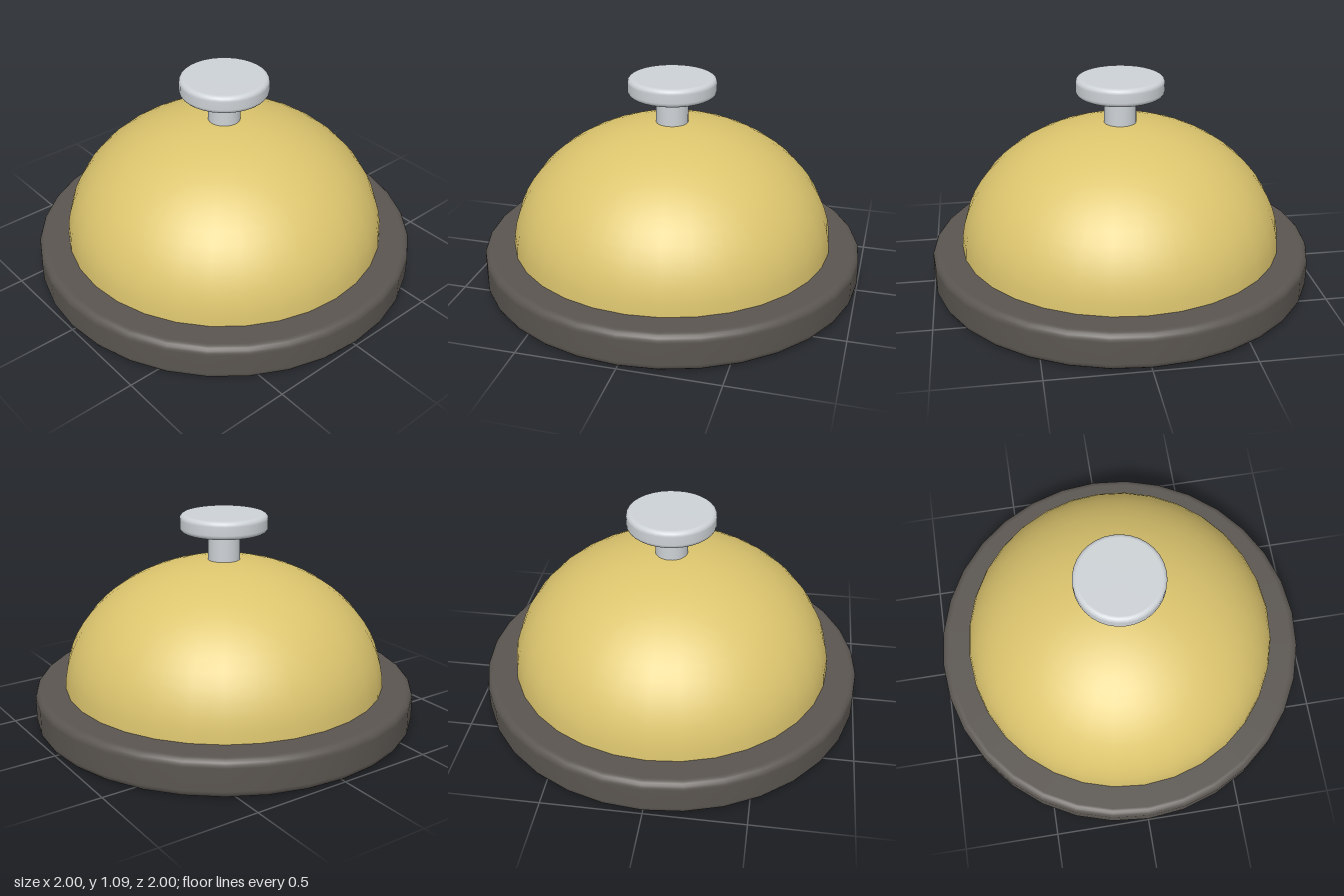
import * as THREE from 'three';

const SEGMENTS = 32;

function material(name, color) {
  const m = new THREE.MeshStandardMaterial({ color });
  m.name = name;
  return m;
}

// Profile of a disc with rounded rims, from bottom centre to top centre
function discProfile(radius, y0, y1, round, steps = 5) {
  const points = [new THREE.Vector2(0, y0)];
  for (const [cy, start] of [[y0 + round, -Math.PI / 2], [y1 - round, 0]]) {
    for (let i = 0; i <= steps; i++) {
      const a = start + (i / steps) * Math.PI / 2;
      points.push(new THREE.Vector2(radius - round + round * Math.cos(a), cy + round * Math.sin(a)));
    }
  }
  points.push(new THREE.Vector2(0, y1));
  return points;
}

// Quarter ellipse from the rim up to the crown
function domeProfile(radius, y0, y1, steps = 16) {
  return Array.from({ length: steps + 1 }, (_, i) => {
    const a = (i / steps) * Math.PI / 2;
    return new THREE.Vector2(i === steps ? 0 : radius * Math.cos(a), y0 + (y1 - y0) * Math.sin(a));
  });
}

export function createModel() {
  const group = new THREE.Group();
  group.name = 'serviceBell';

  const dark = material('dark base', 0x5a5550);
  const brass = material('brass', 0xdcc56e);
  const silver = material('silver', 0xcdd2d6);

  const add = (name, geometry, mat) => {
    const mesh = new THREE.Mesh(geometry, mat);
    mesh.name = name;
    group.add(mesh);
    return mesh;
  };

  // Round base plate
  add('base', new THREE.LatheGeometry(discProfile(1, 0, 0.195, 0.04), SEGMENTS), dark);

  // Bell dome
  add('dome', new THREE.LatheGeometry(domeProfile(0.843, 0.19, 0.853), SEGMENTS), brass);

  // Plunger stem and push button
  const stem = add('stem', new THREE.CylinderGeometry(0.083, 0.083, 0.2, SEGMENTS), silver);
  stem.position.y = 0.92;
  add('button', new THREE.LatheGeometry(discProfile(0.228, 0.997, 1.09, 0.025), SEGMENTS), silver);

  return group;
}
